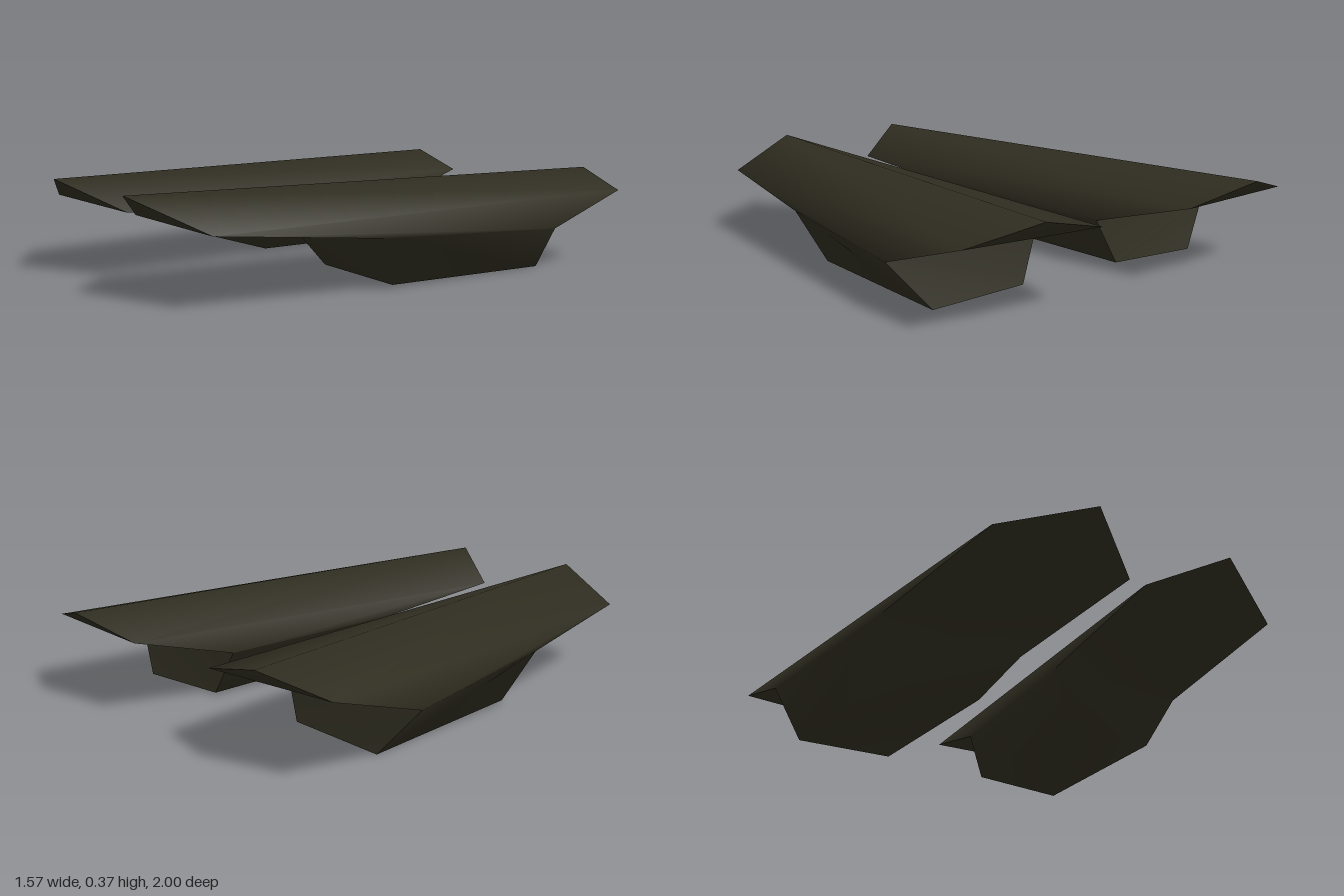
import * as THREE from 'three';
import { toCreasedNormals } from 'three/addons/utils/BufferGeometryUtils.js';

// Corner points of one hull; inner corner comes before outer corner in each pair
const points = [
  [0.29, 0.365, 1], [0.515, 0.355, -1],             // 0-1 ridge, front and back
  [0.035, 0.255, 0.83], [0.215, 0.285, -0.945],     // 2-3 inner eave
  [0.615, 0.26, 0.85], [0.77, 0.29, -0.91],         // 4-5 outer eave
  [0.085, 0.195, 0.22], [0.69, 0.2, 0.22],          // 6-7 front chine
  [0.155, 0.18, -0.55], [0.785, 0.175, -0.53],      // 8-9 back chine
  [0.21, 0.02, 0.12], [0.615, 0.012, 0.12],         // 10-11 front keel
  [0.235, 0.01, -0.58], [0.64, 0, -0.59],           // 12-13 back keel
];

const panels = [
  [0, 1, 3, 2], [0, 4, 5, 1],         // sloping top
  [0, 2, 4], [1, 5, 3],               // front and back ends
  [2, 3, 8, 6], [4, 7, 9, 5],         // upper sides
  [2, 6, 7, 4], [8, 3, 5, 9],         // front and back undersides
  [6, 10, 11, 7], [12, 8, 9, 13],     // keel front and back
  [6, 8, 12, 10], [7, 11, 13, 9],     // keel sides
  [10, 12, 13, 11],                   // keel bottom
];

// Builds a hull; side is 1 for the left one and -1 for the mirrored right one
function hullGeometry(side) {
  const positions = points.flatMap(([x, y, z]) => [x * side, y, z]);
  const index = [];
  for (const p of panels) {
    for (let i = 1; i < p.length - 1; i++) {
      index.push(p[0], ...(side > 0 ? [p[i], p[i + 1]] : [p[i + 1], p[i]]));
    }
  }
  const geometry = new THREE.BufferGeometry();
  geometry.setAttribute('position', new THREE.Float32BufferAttribute(positions, 3));
  geometry.setIndex(index);
  // Soft shading over the ridge and sides, sharp at the overhanging ends
  return toCreasedNormals(geometry, THREE.MathUtils.degToRad(80));
}

export function createModel() {
  const group = new THREE.Group();
  group.name = 'twinHulls';
  const material = new THREE.MeshStandardMaterial({ color: 0x2f2d20 });
  material.name = 'dark olive';
  for (const [name, side] of [['leftHull', 1], ['rightHull', -1]]) {
    const hull = new THREE.Mesh(hullGeometry(side), material);
    hull.name = name;
    group.add(hull);
  }
  return group;
}
